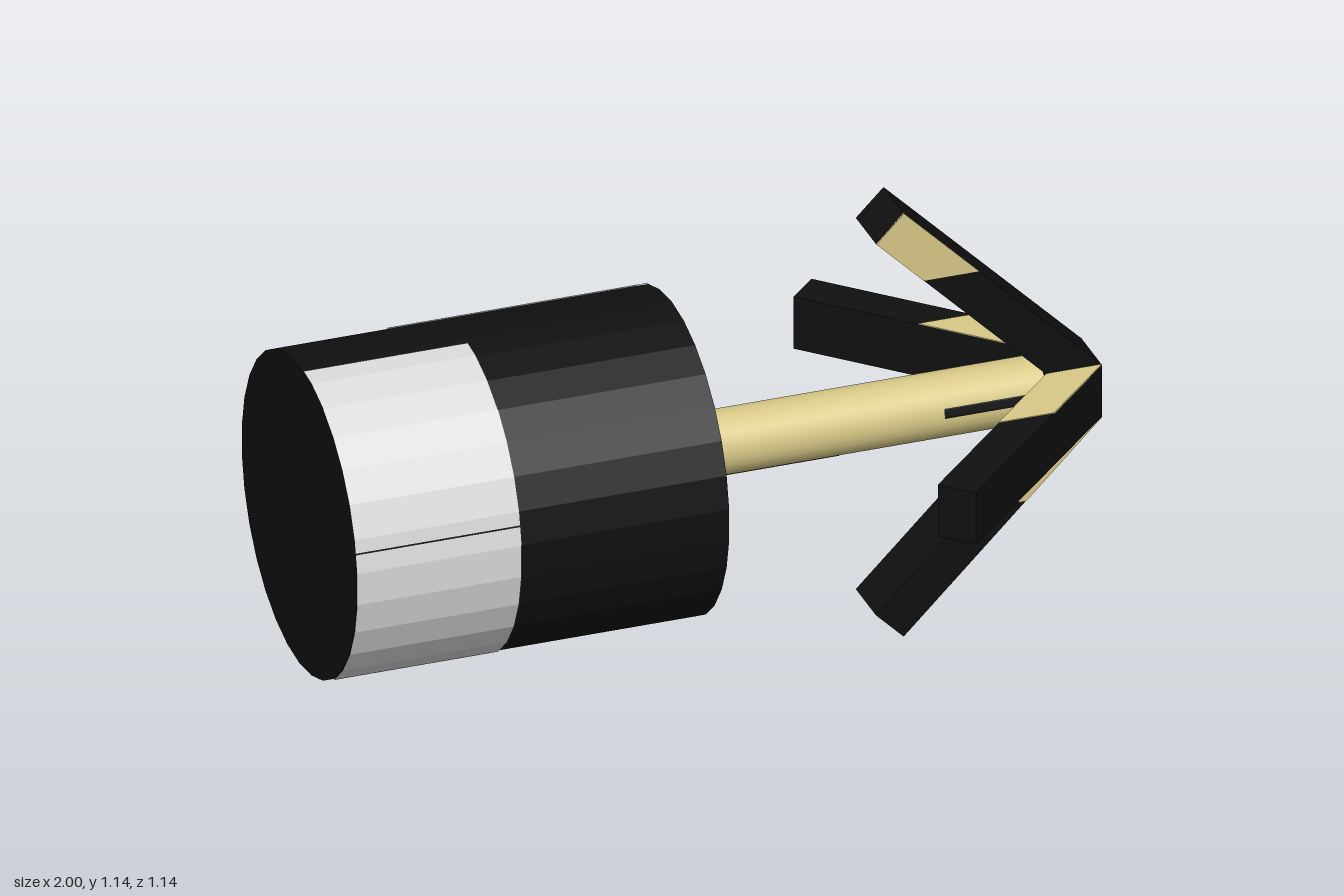
import * as THREE from 'three';

const SIDES = 30, R = 0.4, RI = 0.31, RS = 0.08, AXIS_Y = 0.57;
const rad = THREE.MathUtils.degToRad;

// Flat facets
function faceted(g) {
  const f = g.index ? g.toNonIndexed() : g;
  f.computeVertexNormals();
  return f;
}

// Radius of the 30-sided section at an angle (degrees from +z towards +y)
function facetRadius(r, deg) {
  const off = (((deg - 6) % 12) + 12) % 12 - 6;
  return r * Math.cos(rad(6)) / Math.cos(rad(off));
}

// Curved painted patch lying on a drum or shaft; span(deg) gives [x0, x1]
function patchGeometry(r, from, to, span, lift = 0.003) {
  const angles = [from];
  for (let a = Math.floor(from / 3) * 3 + 3; a < to; a += 3) angles.push(a);
  angles.push(to);
  const pos = [], idx = [];
  angles.forEach((a, i) => {
    const rr = facetRadius(r, a) + lift;
    for (const x of span(a)) pos.push(x, rr * Math.sin(rad(a)), rr * Math.cos(rad(a)));
    if (i) {
      const b = 2 * i;
      if (lift > 0) idx.push(b - 2, b - 1, b + 1, b - 2, b + 1, b);
      else idx.push(b - 2, b + 1, b - 1, b - 2, b, b + 1);
    }
  });
  const g = new THREE.BufferGeometry();
  g.setAttribute('position', new THREE.Float32BufferAttribute(pos, 3));
  g.setIndex(idx);
  return faceted(g);
}

// Polygon in x-y, extruded and centred on z
function slab(points, depth) {
  const shape = new THREE.Shape(points.map(p => new THREE.Vector2(p[0], p[1])));
  return new THREE.ExtrudeGeometry(shape, { depth, bevelEnabled: false }).translate(0, 0, -depth / 2);
}

export function createModel() {
  const black = new THREE.MeshStandardMaterial({ color: 0x101010, side: THREE.DoubleSide });
  black.name = 'black';
  const grey = new THREE.MeshStandardMaterial({ color: 0xdadada, side: THREE.DoubleSide });
  grey.name = 'light grey';
  const tan = new THREE.MeshStandardMaterial({ color: 0xd9ca88 });
  tan.name = 'tan';

  const model = new THREE.Group();
  const body = new THREE.Group();
  body.name = 'body';
  body.position.y = AXIS_Y;
  model.add(body);

  const add = (parent, name, geometry, material) => {
    const m = new THREE.Mesh(geometry, material);
    m.name = name;
    parent.add(m);
    return m;
  };

  // Hollow drum, closed at -x and open at +x
  const profile = [[0, -1], [R, -1], [R, -0.06], [RI, -0.06], [RI, -0.9], [0, -0.9]]
    .map(p => new THREE.Vector2(p[0], p[1]));
  const drum = new THREE.LatheGeometry(profile, SIDES).rotateZ(-Math.PI / 2).rotateX(rad(6));
  add(body, 'drum', faceted(drum), black);

  // Painted patches on the drum
  const rect = (x0, x1) => () => [x0, x1];
  add(body, 'frontPatchLower', patchGeometry(R, -59.6, 12.6, rect(-1, -0.585)), grey);
  add(body, 'frontPatchUpper', patchGeometry(R, 13.2, 86, rect(-1, -0.585)), grey);
  add(body, 'topPatchInner', patchGeometry(R, 113, 161, rect(-0.69, -0.27)), grey);
  add(body, 'topPatchRim', patchGeometry(R, 113, 166, rect(-0.27, -0.06)), grey);
  add(body, 'innerWallPatch', patchGeometry(RI, 140.7, 161, rect(-0.27, -0.06), -0.003), grey);
  const oval = a => {
    const t = Math.min(1, Math.abs(a - 227) / 46);
    const w = 0.23 * Math.pow(1 - Math.pow(t, 2.3), 1 / 2.3);
    return [-0.63 - w, -0.63 + w];
  };
  add(body, 'ovalPatch', patchGeometry(R, 181, 273, oval), grey);

  // Painted part of the open rim (shape x becomes -z)
  const rim = [];
  const rimArc = (r, from, to) => {
    for (let i = 0; i <= 6; i++) {
      const a = from + (to - from) * i / 6, rr = facetRadius(r, 180 - a);
      rim.push([rr * Math.cos(rad(a)), rr * Math.sin(rad(a))]);
    }
  };
  rimArc(R, 14.5, 53);
  rimArc(RI, 39.3, 18.8);
  const rimPlate = slab(rim, 0.006).rotateY(Math.PI / 2).translate(-0.06, 0, 0);
  add(body, 'rimPatch', rimPlate, grey);

  // Shaft with dark streaks
  const shaft = new THREE.CylinderGeometry(RS, RS, 1.8, SIDES).rotateZ(-Math.PI / 2).rotateX(rad(6));
  add(body, 'shaft', shaft.translate(0, 0, 0), tan);
  add(body, 'shaftStreak', patchGeometry(RS, 2, 20, rect(0.6, 0.85), 0.001), black);
  add(body, 'shaftUnderStreak', patchGeometry(RS, -80, -62, rect(-0.06, 0.35), 0.001), black);

  // Hub at the tip
  add(body, 'hub', new THREE.BoxGeometry(0.14, 0.14, 0.14).translate(0.93, 0, 0), black);

  // Four swept-back arms; each is drawn upright, then turned about the axis
  const armShape = [[1, 0.07], [0.5, 0.57], [0.43, 0.5], [0.86, 0.07]];
  const band = (h0, h1, w0 = -0.07, w1 = 0.07) =>
    [[1 - h0 + w0, h0], [1 - h0 + w1, h0], [1 - h1 + w1, h1], [1 - h1 + w0, h1]];
  const tip = [[0.55, 0.38], [0.69, 0.38], [0.5, 0.57], [0.43, 0.5]];
  const arms = [
    ['upperArm', 0, [[1, tip], [-1, band(0.34, 0.47, 0.03, 0.065)], [-1, band(0.42, 0.5, -0.06, -0.02)]]],
    ['frontArm', 90, [[-1, band(0.07, 0.26)]]],
    ['lowerArm', 180, [[1, band(0.07, 0.26)], [-1, band(0.07, 0.26)]]],
    ['backArm', -90, [[1, band(0.07, 0.27)]]],
  ];
  for (const [name, turn, plates] of arms) {
    const arm = new THREE.Group();
    arm.name = name;
    arm.rotation.x = rad(turn);
    add(arm, name + 'Bar', slab(armShape, 0.14), black);
    for (const [side, points] of plates)
      add(arm, name + 'Paint', slab(points, 0.004).translate(0, 0, side * 0.07), tan);
    body.add(arm);
  }
  return model;
}
